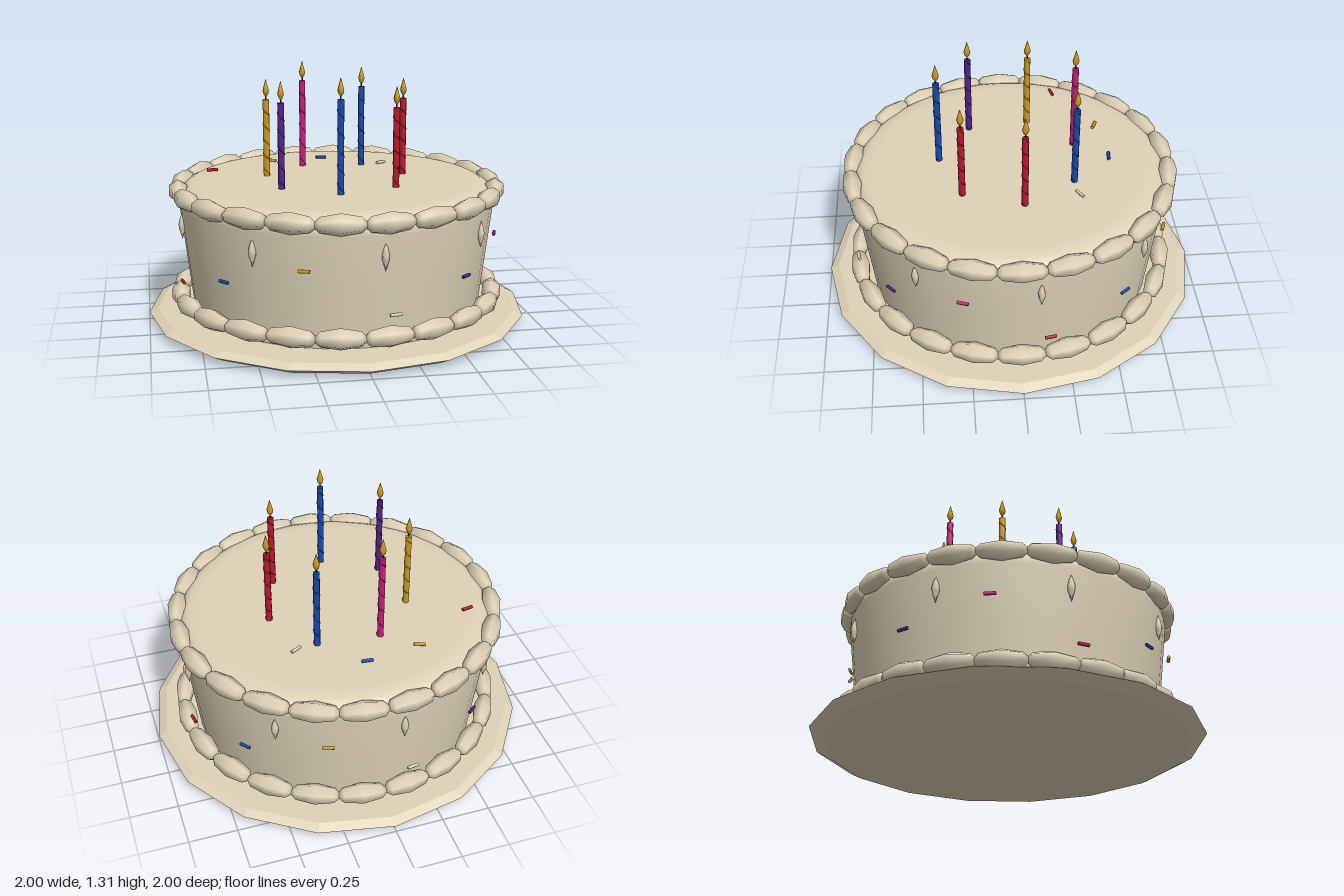
import * as THREE from 'three';

const mat = (name, color) => {
  const m = new THREE.MeshStandardMaterial({ color });
  m.name = name;
  return m;
};

const lathe = (points, segments) =>
  new THREE.LatheGeometry(points.map(([r, y]) => new THREE.Vector2(r, y)), segments);

const flat = (geometry) => {
  const g = geometry.toNonIndexed();
  g.computeVertexNormals();
  return g;
};

export function createModel() {
  const cake = new THREE.Group();
  cake.name = 'birthdayCake';

  const icing = mat('cream icing', 0xdfd3b8);
  const red = mat('red', 0xb81c30);
  const blue = mat('blue', 0x1c4aa8);
  const purple = mat('purple', 0x552288);
  const pink = mat('pink', 0xc4207a);
  const yellow = mat('yellow', 0xcc9a28);
  const wickDark = mat('dark wick', 0x2c241c);

  const add = (parent, name, geometry, material, x = 0, y = 0, z = 0, turn = 0) => {
    const mesh = new THREE.Mesh(geometry, material);
    mesh.name = name;
    mesh.position.set(x, y, z);
    mesh.rotation.y = turn;
    parent.add(mesh);
    return mesh;
  };

  // Place a part on a circle; angle runs from the front towards +x
  const addAround = (parent, name, geometry, material, radius, y, angle) =>
    add(parent, name, geometry, material, radius * Math.sin(angle), y, radius * Math.cos(angle), angle);

  // Sixteen-sided plate with a bevelled rim
  add(cake, 'plate', flat(lathe([[0, 0], [0.93, 0], [1, 0.037], [0.955, 0.06], [0, 0.06]], 16)), icing);

  // Flared cake body with a rounded top edge
  add(cake, 'cakeBody', lathe([
    [0.76, 0.055], [0.795, 0.35], [0.828, 0.63], [0.822, 0.67], [0.8, 0.703], [0.765, 0.72], [0.7, 0.725], [0, 0.725],
  ], 48), icing);

  // Piped borders: rings of spindle-shaped beads
  const bead = new THREE.SphereGeometry(0.055, 6, 4);
  bead.scale(1, 2.5, 1);
  bead.rotateY(Math.PI / 2);
  bead.rotateZ(Math.PI / 2);
  bead.rotateX(Math.PI / 6 * 3);
  for (const [name, y] of [['topBorder', 0.69], ['bottomBorder', 0.135]]) {
    const border = new THREE.Group();
    border.name = name;
    for (let i = 0; i < 22; i++) {
      addAround(border, 'pipedBead', bead, icing, 0.83, y, Math.PI / 2 + (i / 22) * Math.PI * 2);
    }
    cake.add(border);
  }

  // Icing drops on the side
  const drop = lathe([[0, -0.075], [0.017, -0.02], [0.019, 0.005], [0.012, 0.035], [0, 0.065]], 6);
  for (let i = 0; i < 8; i++) {
    addAround(cake, 'icingDrop', drop, icing, 0.823, 0.53, THREE.MathUtils.degToRad(6.6 + 45 * i));
  }

  // Sprinkles around the side, in three heights
  const sprinkle = new THREE.CylinderGeometry(0.009, 0.009, 0.058, 6);
  sprinkle.rotateZ(Math.PI / 2);
  const sideColors = [icing, purple, pink, red, blue, yellow];
  for (let i = 0; i < 12; i++) {
    addAround(cake, 'sideSprinkle', sprinkle, sideColors[i % 6], 0.836,
      [0.242, 0.355, 0.465][i % 3], THREE.MathUtils.degToRad(10 + 30 * i));
  }

  // Sprinkles on the top
  for (const [x, z, turn, material] of [
    [-0.635, -0.285, 0.2, red], [-0.29, -0.485, -0.4, yellow],
    [0, -0.525, -0.1, blue], [0.31, -0.335, 0.5, icing],
  ]) add(cake, 'topSprinkle', sprinkle, material, x, 0.732, z, turn);

  // Candles with a raised spiral, wick and flame
  const flame = lathe([[0, 0], [0.013, 0.018], [0.018, 0.036], [0.011, 0.062], [0, 0.1]], 6);
  const wick = new THREE.CylinderGeometry(0.004, 0.004, 0.025, 5);
  for (const [x, z, top, material] of [
    [-0.13, -0.35, 1.2, pink], [0.195, -0.32, 1.165, blue], [0.37, -0.05, 1.135, red],
    [0.265, 0.26, 1.135, red], [-0.04, 0.37, 1.2, blue], [-0.315, 0.2, 1.165, purple],
    [-0.355, -0.12, 1.135, yellow],
  ]) {
    const candle = new THREE.Group();
    candle.name = 'candle';
    candle.position.set(x, 0, z);
    const height = top - 0.72;
    add(candle, 'candleStick', new THREE.CylinderGeometry(0.017, 0.017, height, 8), material, 0, 0.72 + height / 2);
    const spiral = [];
    for (let i = 0; i <= 40; i++) {
      const a = (i / 40) * Math.PI * 10;
      spiral.push(new THREE.Vector3(0.016 * Math.cos(a), 0.73 + (height - 0.02) * i / 40, 0.016 * Math.sin(a)));
    }
    add(candle, 'candleSpiral',
      new THREE.TubeGeometry(new THREE.CatmullRomCurve3(spiral), 80, 0.0035, 4), material);
    add(candle, 'wick', wick, wickDark, 0, top + 0.01);
    add(candle, 'flame', flame, yellow, 0, top + 0.01);
    cake.add(candle);
  }

  return cake;
}
